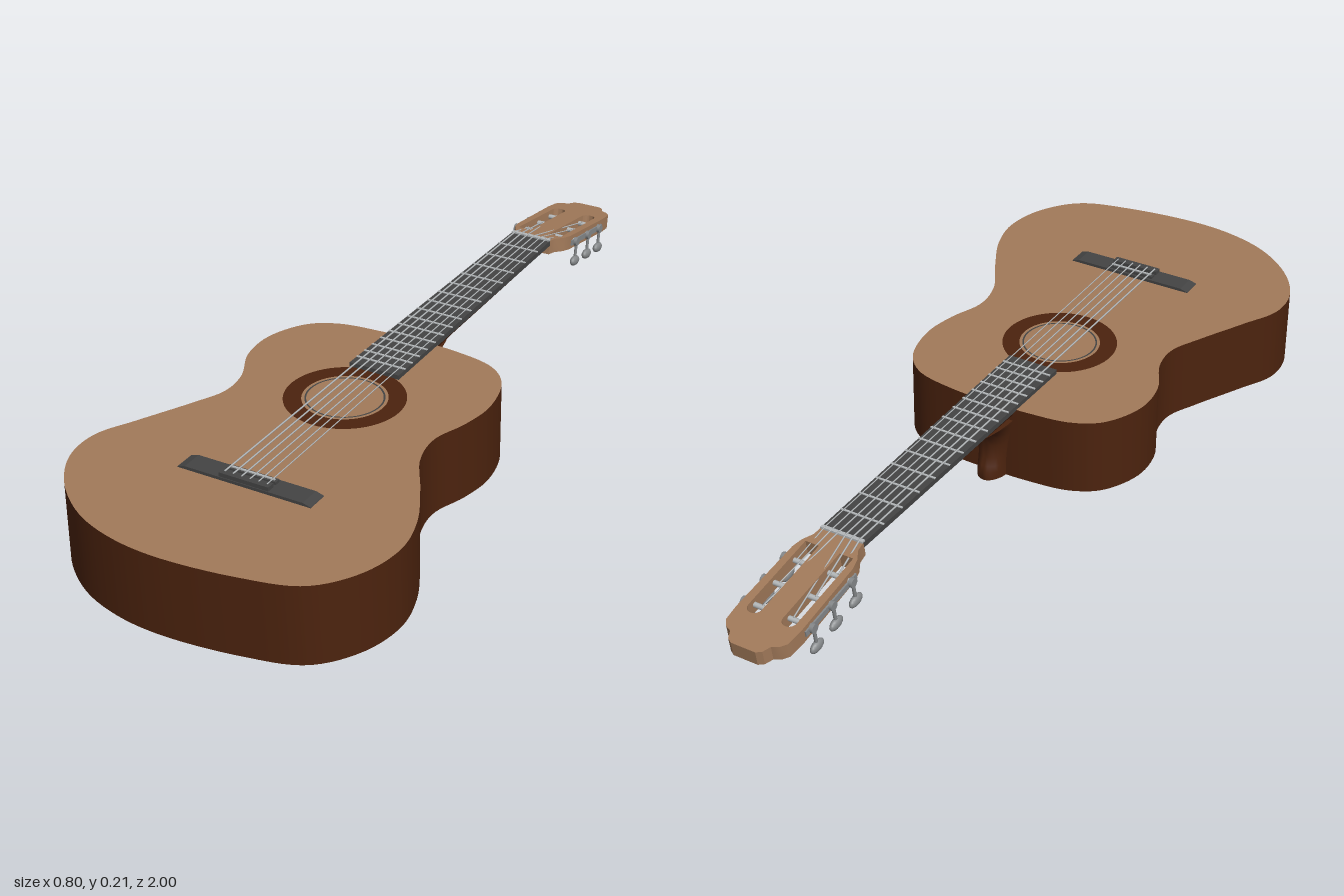
import * as THREE from 'three';
import { toCreasedNormals } from 'three/addons/utils/BufferGeometryUtils.js';

const mat = (name, color, side = THREE.FrontSide) => {
  const m = new THREE.MeshStandardMaterial({ color, side });
  m.name = name;
  return m;
};

const V2 = (p) => new THREE.Vector2(p[0], p[1]);
const TOP = 0.188; // soundboard height
const CX = -0.007; // neck centre line

// Flat outline given as [x, z], extruded upward from y0 to y1
function slab(shape, y0, y1, steps = 12) {
  const g = new THREE.ExtrudeGeometry(shape, { depth: y1 - y0, bevelEnabled: false, curveSegments: steps });
  g.rotateX(-Math.PI / 2).translate(0, y0, 0);
  return toCreasedNormals(g, 0.5);
}
const outline = (pts) => new THREE.Shape(pts.map(([x, z]) => new THREE.Vector2(x, -z)));

// Skin over closed rings of Vector3, with fan caps at both ends
function loft(rings) {
  const pos = [];
  const tri = (a, b, c) => [a, b, c].forEach((v) => pos.push(v.x, v.y, v.z));
  const n = rings[0].length;
  for (let s = 0; s < rings.length - 1; s++) {
    for (let i = 0; i < n; i++) {
      const a = rings[s], b = rings[s + 1], j = (i + 1) % n;
      tri(a[i], a[j], b[i]);
      tri(a[j], b[j], b[i]);
    }
  }
  const first = rings[0], last = rings[rings.length - 1];
  for (let i = 1; i < n - 1; i++) {
    tri(first[0], first[i + 1], first[i]);
    tri(last[0], last[i], last[i + 1]);
  }
  const g = new THREE.BufferGeometry();
  g.setAttribute('position', new THREE.Float32BufferAttribute(pos, 3));
  return toCreasedNormals(g, 0.8);
}

// Half-ellipse ring; place maps (across, outward) to a point
function halfRing(w, d, place) {
  return Array.from({ length: 15 }, (_, i) => {
    const t = (i / 14) * Math.PI;
    return place(w * Math.cos(t), d * Math.sin(t));
  });
}

// Thin rod between two points
function rod(a, b, r, sides = 6) {
  const A = new THREE.Vector3(...a), B = new THREE.Vector3(...b);
  const dir = B.clone().sub(A);
  const g = new THREE.CylinderGeometry(r, r, dir.length(), sides);
  g.applyQuaternion(new THREE.Quaternion().setFromUnitVectors(new THREE.Vector3(0, 1, 0), dir.normalize()));
  const m = A.add(B).multiplyScalar(0.5);
  return g.translate(m.x, m.y, m.z);
}

export function createModel() {
  const spruce = mat('tan wood', 0xa27a5a);
  const mahogany = mat('dark brown wood', 0x4c230e);
  const ebony = mat('dark grey wood', 0x444444);
  const steel = mat('grey metal', 0x85888a);
  const silver = mat('pale metal', 0xb4b8ba);

  const model = new THREE.Group();
  model.name = 'guitar';
  const add = (name, geo, material, parent = model) => {
    const m = new THREE.Mesh(geo, material);
    m.name = name;
    parent.add(m);
    return m;
  };

  // Body: tan top and back, brown sides
  const curve = new THREE.CatmullRomCurve3([
    [0, -0.033], [0.1, -0.03], [0.21, -0.005], [0.265, 0.05], [0.292, 0.16], [0.28, 0.25], [0.252, 0.34],
    [0.265, 0.425], [0.323, 0.53], [0.377, 0.64], [0.397, 0.74], [0.372, 0.85], [0.3, 0.94], [0.17, 0.98],
    [-0.02, 1], [-0.14, 0.985], [-0.24, 0.945], [-0.335, 0.865], [-0.39, 0.77], [-0.395, 0.68], [-0.35, 0.585],
    [-0.29, 0.465], [-0.256, 0.385], [-0.262, 0.31], [-0.305, 0.215], [-0.31, 0.12], [-0.265, 0.025], [-0.2, -0.015], [-0.1, -0.03],
  ].map(([x, z]) => new THREE.Vector3(x, 0, z)), true);
  const bodyShape = outline(curve.getPoints(180).slice(0, -1).map((p) => [p.x, p.z]));
  add('body', slab(bodyShape, 0, TOP), [spruce, mahogany]);

  // Rosette around the sound hole
  const ring = (name, r0, r1, y, m) => {
    const g = new THREE.RingGeometry(r0, r1, 64).rotateX(-Math.PI / 2);
    add(name, g.translate(CX, y, 0.28), m);
  };
  ring('rosette', 0.097, 0.138, TOP + 0.001, mahogany);
  ring('soundHoleEdge', 0.086, 0.09, TOP + 0.001, ebony);

  // Neck with a rounded back
  const neckRings = [[-0.02, 0.058, 0.045], [-0.14, 0.056, 0.04], [-0.4, 0.054, 0.033], [-0.65, 0.052, 0.026]].map(
    ([z, w, d]) => halfRing(w, d, (x, o) => new THREE.Vector3(CX + x, 0.19 - o, z)));
  add('neck', loft(neckRings), mahogany);

  // Heel, flaring out to a foot and up into the neck
  const heelRings = [
    [0, 0.036, 0.079], [0.02, 0.036, 0.079], [0.035, 0.036, 0.073], [0.055, 0.038, 0.064], [0.09, 0.042, 0.062],
    [0.115, 0.046, 0.072], [0.133, 0.049, 0.09], [0.148, 0.052, 0.125], [0.156, 0.053, 0.17],
  ].map(([y, w, z]) => halfRing(w, z - 0.02, (x, o) => new THREE.Vector3(CX + x, y, -0.02 - o)));
  add('heel', loft(heelRings), mahogany);

  // Fretboard and frets
  const nutZ = -0.645, endZ = 0.152, saddleZ = 0.675;
  const halfWidth = (z) => 0.054 + 0.01 * (z - nutZ) / (endZ - nutZ);
  const board = outline([[-0.054, nutZ], [-0.064, endZ], [0.064, endZ], [0.054, nutZ]].map(([x, z]) => [x + CX, z]));
  add('fretboard', slab(board, TOP - 0.002, 0.199), ebony);
  for (let n = 1; n <= 15; n++) {
    const z = nutZ + (saddleZ - nutZ) * (1 - Math.pow(2, -n / 12));
    add('fret', new THREE.BoxGeometry(2 * halfWidth(z), 0.003, 0.005).translate(CX, 0.1995, z), silver);
  }
  add('nut', new THREE.BoxGeometry(0.106, 0.018, 0.01).translate(CX, 0.194, nutZ), silver);

  // Bridge with sloping wings, tie block and saddle
  const bridge = new THREE.Shape([
    [-0.165, TOP - 0.002], [0.165, TOP - 0.002], [0.163, 0.19], [0.145, 0.195], [-0.145, 0.195], [-0.163, 0.19],
  ].map(V2));
  add('bridge', new THREE.ExtrudeGeometry(bridge, { depth: 0.052, bevelEnabled: false }).translate(0, 0, 0.65), ebony);
  add('tieBlock', new THREE.BoxGeometry(0.122, 0.011, 0.02).translate(0, 0.199, 0.69), ebony);
  add('saddleBlock', new THREE.BoxGeometry(0.122, 0.007, 0.015).translate(0, 0.198, 0.664), ebony);
  add('saddle', new THREE.BoxGeometry(0.11, 0.01, 0.005).translate(0, 0.199, 0.664), silver);

  // Headstock, tilted back, with two long slots
  const head = new THREE.Group();
  head.name = 'headstock';
  head.position.set(CX, 0.199, nutZ);
  head.rotation.x = -0.15;
  model.add(head);
  const half = [[0.053, 0], [0.056, 0.025], [0.07, 0.05], [0.076, 0.075], [0.08, 0.27], [0.077, 0.31], [0.065, 0.325], [0.05, 0.332], [0.042, 0.35], [0.03, 0.358]];
  const headShape = new THREE.Shape([...half, ...half.map(([x, d]) => [-x, d]).reverse()].map(V2));
  for (const s of [-1, 1]) {
    const hole = new THREE.Path();
    hole.moveTo(s * 0.043 - 0.017, 0.05);
    hole.lineTo(s * 0.043 + 0.017, 0.05);
    hole.lineTo(s * 0.043 + 0.017, 0.255);
    hole.absarc(s * 0.043, 0.255, 0.017, 0, Math.PI, false);
    headShape.holes.push(hole);
  }
  add('headPlate', slab(headShape, -0.036, 0), spruce, head);

  // Tuners: roller across the slot, side plate, stem and button
  const tunerZ = [-0.095, -0.168, -0.238];
  for (const s of [-1, 1]) {
    add('tunerPlate', new THREE.BoxGeometry(0.004, 0.014, 0.185).translate(s * 0.081, -0.018, -0.167), steel, head);
    for (const z of tunerZ) {
      add('roller', rod([s * 0.022, -0.016, z], [s * 0.082, -0.016, z], 0.006, 10), silver, head);
      add('gear', rod([s * 0.08, -0.018, z], [s * 0.09, -0.018, z], 0.011, 12), steel, head);
      add('tunerStem', rod([s * 0.086, -0.015, z], [s * 0.086, -0.062, z], 0.004, 8), steel, head);
      add('tunerButton', new THREE.SphereGeometry(1, 16, 10).scale(0.009, 0.013, 0.022).translate(s * 0.086, -0.069, z), steel, head);
    }
  }

  // Strings, bridge to nut and on to the rollers
  head.updateMatrix();
  for (let i = 0; i < 6; i++) {
    const k = (i - 2.5) / 2.5;
    const r = 0.0021 - 0.00015 * i;
    const nut = [CX + k * 0.044, 0.2035, nutZ];
    add('string', rod([k * 0.052, 0.205, 0.69], nut, r), silver);
    const z = tunerZ[i < 3 ? i : 5 - i];
    const end = new THREE.Vector3(Math.sign(k) * (0.052 - 0.007 * (i < 3 ? i : 5 - i)), -0.01, z).applyMatrix4(head.matrix);
    add('stringEnd', rod(nut, end.toArray(), r), silver);
  }
  return model;
}
